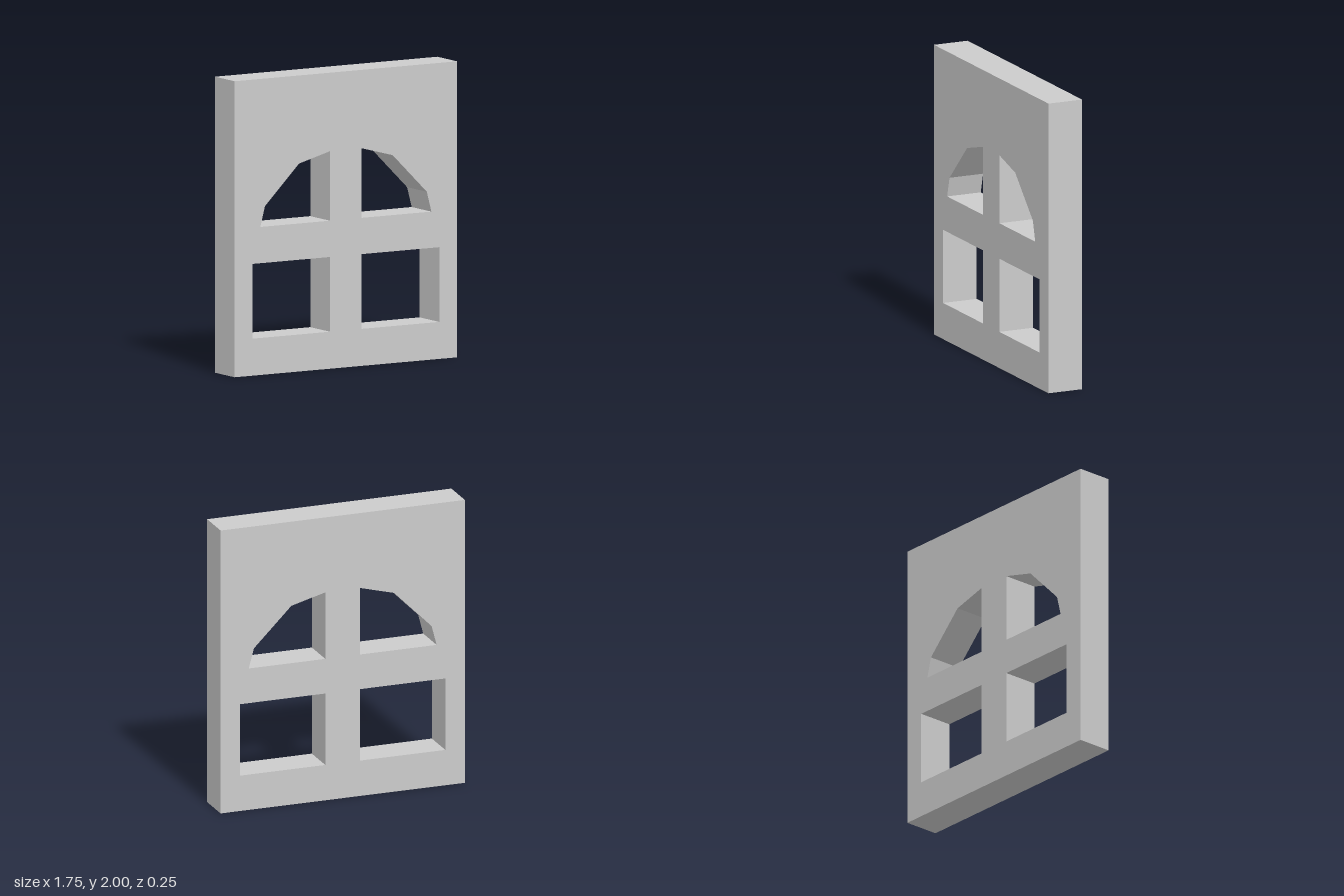
import * as THREE from 'three';

const HALF_WIDTH = 0.875, HEIGHT = 2, DEPTH = 0.25;

// Pane openings on the +x side; mirrored for the other side
const squarePane = [[0.125, 0.25], [0.735, 0.25], [0.735, 0.755], [0.125, 0.755]];
const archPane = [[0.125, 1], [0.673, 1], [0.637, 1.137], [0.368, 1.405], [0.125, 1.47]];

const toPoints = (pts, side = 1) => pts.map(([x, y]) => new THREE.Vector2(x * side, y));

export function createModel() {
  const group = new THREE.Group();
  group.name = 'windowWall';

  // Wall slab outline
  const shape = new THREE.Shape(toPoints([
    [-HALF_WIDTH, 0], [HALF_WIDTH, 0], [HALF_WIDTH, HEIGHT], [-HALF_WIDTH, HEIGHT],
  ]));

  // Two square panes below, two halves of a faceted arch above
  for (const side of [1, -1]) {
    for (const pane of [squarePane, archPane]) {
      shape.holes.push(new THREE.Path(toPoints(pane, side)));
    }
  }

  const geometry = new THREE.ExtrudeGeometry(shape, { depth: DEPTH, bevelEnabled: false });
  geometry.translate(0, 0, -DEPTH / 2);

  const wall = new THREE.Mesh(
    geometry,
    new THREE.MeshStandardMaterial({ color: 0xcccccc, flatShading: true }),
  );
  wall.name = 'wallWithWindowOpenings';
  group.add(wall);
  return group;
}
